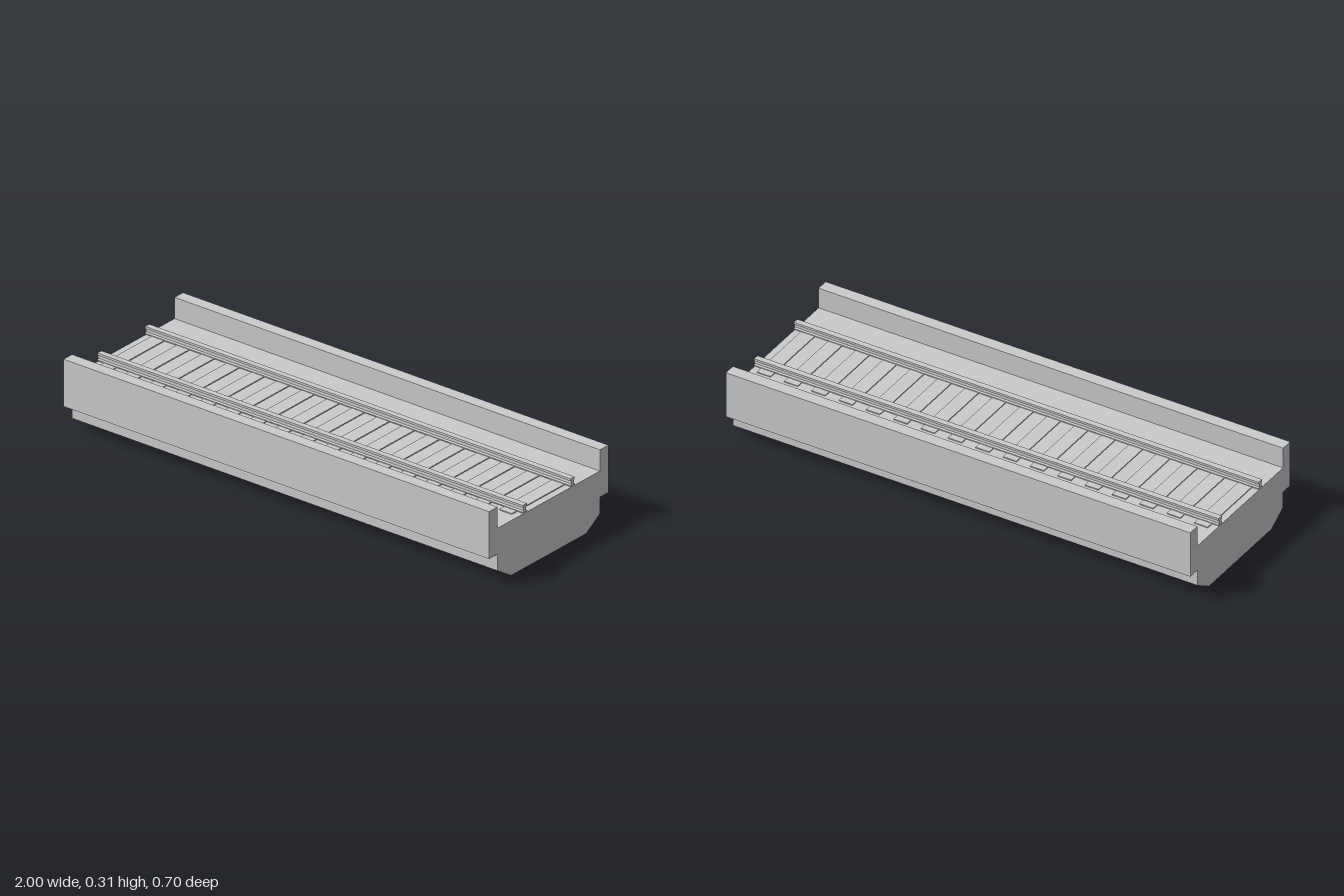
import * as THREE from 'three';

const LENGTH = 2;
const TIES = 17;
const material = new THREE.MeshStandardMaterial({ color: 0xcccccc, flatShading: true });

// Extrude a half cross-section [across, up], mirrored about its centre, along x
function beam(name, half) {
  const mirrored = half.map(([a, y]) => [-a, y]).reverse();
  const shape = new THREE.Shape([...half, ...mirrored].map(([a, y]) => new THREE.Vector2(a, y)));
  const geometry = new THREE.ExtrudeGeometry(shape, { depth: LENGTH, bevelEnabled: false });
  geometry.translate(0, 0, -LENGTH / 2).rotateY(Math.PI / 2);
  const mesh = new THREE.Mesh(geometry, material);
  mesh.name = name;
  return mesh;
}

export function createModel() {
  const model = new THREE.Group();
  model.name = 'railwayBridgeDeck';

  // Deck with chamfered underside and overhanging side parapets
  model.add(beam('deck', [
    [0.22, 0], [0.3, 0.05], [0.3, 0.118], [0.35, 0.118],
    [0.35, 0.312], [0.3, 0.312], [0.3, 0.225],
  ]));

  // Thin sleepers, slightly sunk into the deck
  const sleepers = new THREE.Group();
  sleepers.name = 'sleepers';
  const pitch = LENGTH / TIES;
  const tieGeometry = new THREE.BoxGeometry(pitch * 0.5, 0.008, 0.36);
  for (let i = 0; i < TIES; i++) {
    const tie = new THREE.Mesh(tieGeometry, material);
    tie.name = 'sleeper';
    tie.position.set((i + 0.5) * pitch - LENGTH / 2, 0.225, 0);
    sleepers.add(tie);
  }
  model.add(sleepers);

  // Rails with foot, web and head
  for (const side of [1, -1]) {
    const rail = beam(side > 0 ? 'frontRail' : 'backRail', [
      [0.012, 0.228], [0.012, 0.232], [0.007, 0.237], [0.007, 0.248],
      [0.012, 0.251], [0.012, 0.26],
    ]);
    rail.position.z = side * 0.14;
    model.add(rail);
  }

  return model;
}
